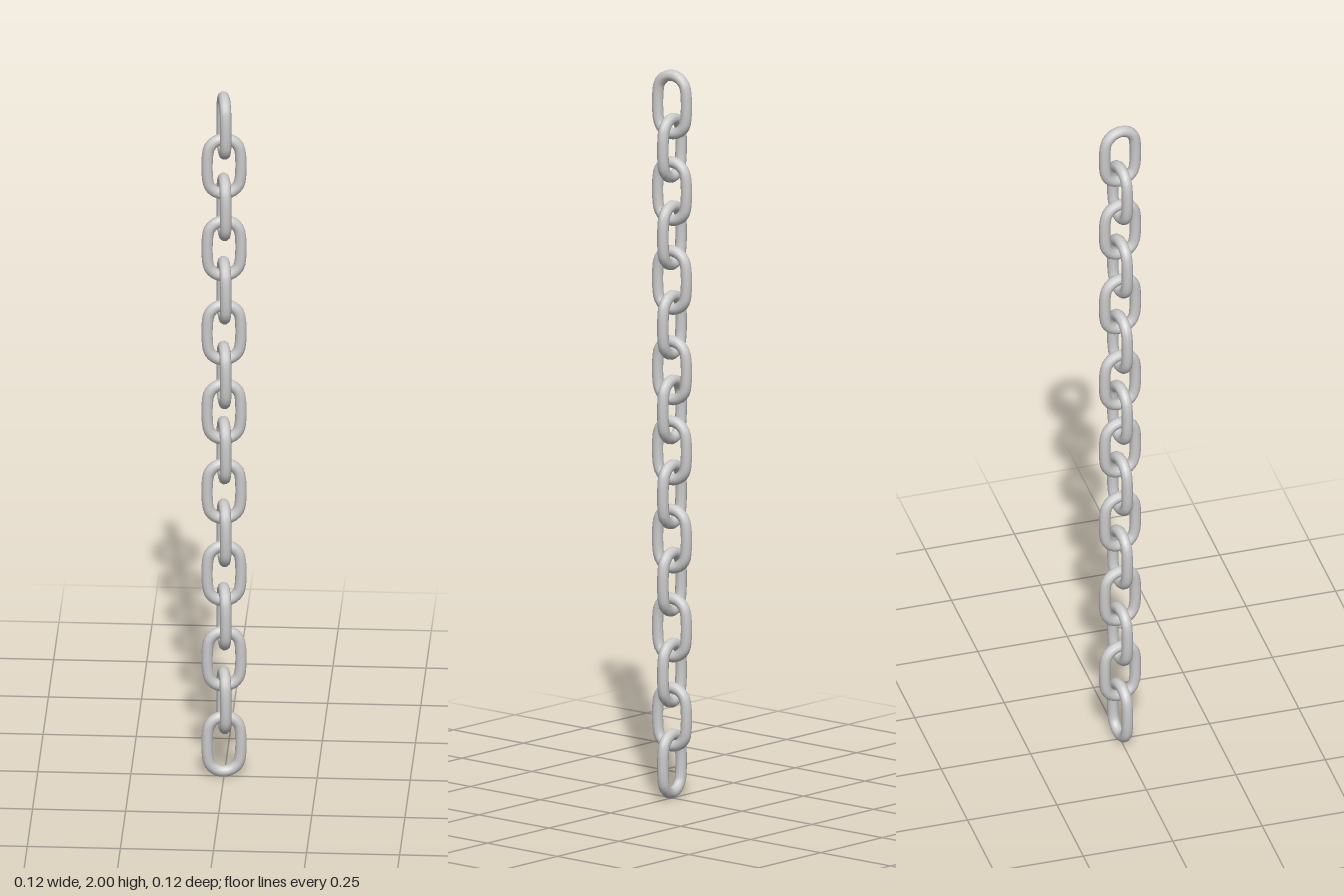
import * as THREE from 'three';

// One link: a tube along a stadium-shaped loop in the XY plane
function linkGeometry(bend, halfStraight, wire) {
  const points = [];
  const steps = 6;
  for (const end of [0, 1]) {
    for (let i = 0; i <= steps; i++) {
      const a = Math.PI * (end + i / steps);
      const shift = end === 0 ? halfStraight : -halfStraight;
      points.push(new THREE.Vector3(bend * Math.cos(a), bend * Math.sin(a) + shift, 0));
    }
  }
  const loop = new THREE.CatmullRomCurve3(points, true);
  return new THREE.TubeGeometry(loop, 40, wire, 10, true);
}

export function createModel() {
  const chain = new THREE.Group();
  chain.name = 'chain';
  const material = new THREE.MeshStandardMaterial({ color: 0xcccccc });
  const geometry = linkGeometry(0.044, 0.036, 0.0155);

  // Link centres from top to bottom, hanging with slightly uneven slack
  const heights = [
    1.905, 1.786, 1.667, 1.546, 1.423, 1.3, 1.175, 1.068,
    0.955, 0.835, 0.713, 0.595, 0.469, 0.345, 0.224, 0.0955,
  ];
  const twist = THREE.MathUtils.degToRad(9);

  // Neighbouring links stand at right angles to each other
  heights.forEach((y, i) => {
    const link = new THREE.Mesh(geometry, material);
    link.name = `link${i + 1}`;
    link.position.y = y;
    link.rotation.y = twist + (i % 2 === 0 ? Math.PI / 2 : 0);
    chain.add(link);
  });
  return chain;
}
